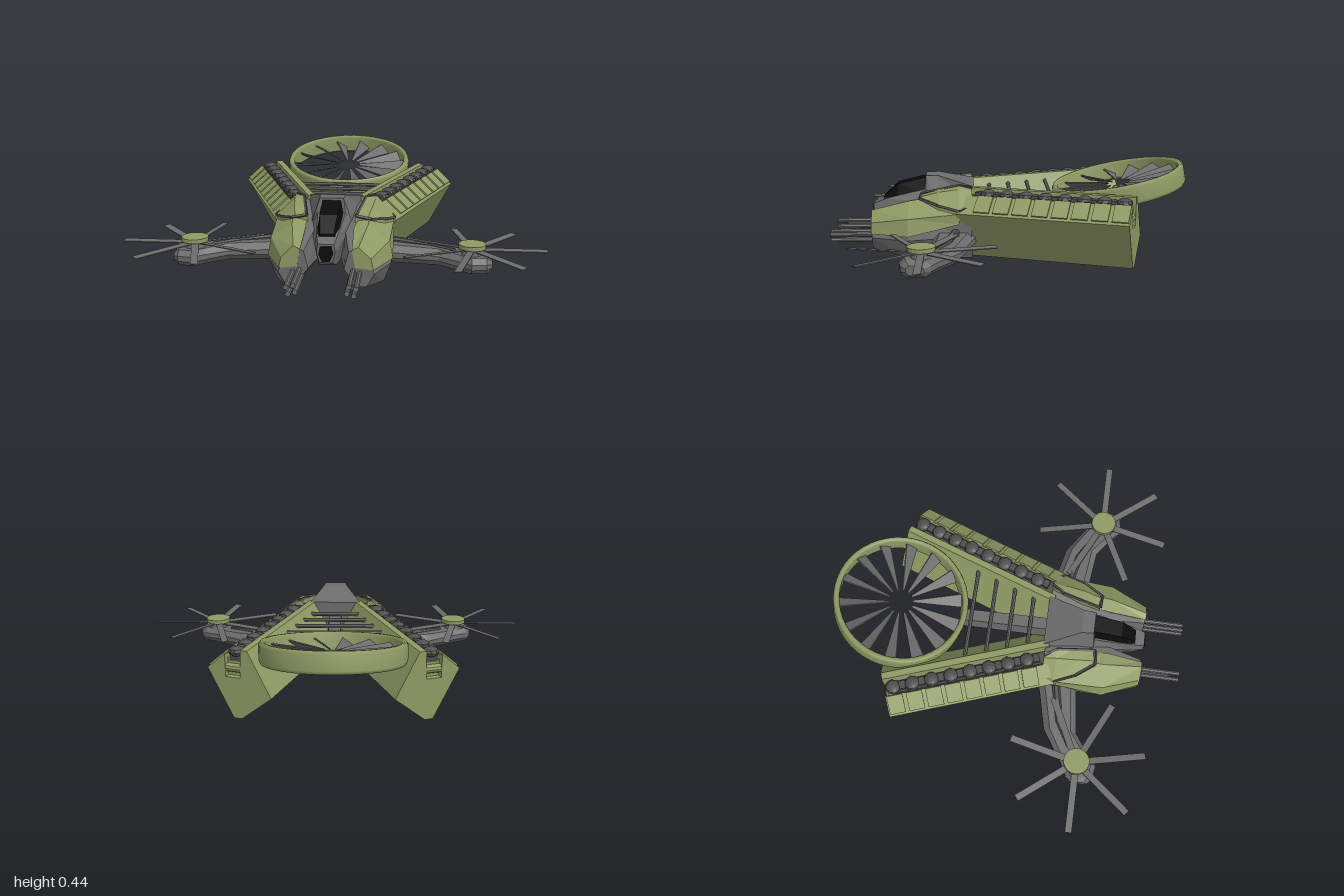
import * as THREE from 'three';

const mat = (color, flatShading = true) => new THREE.MeshStandardMaterial({ color, flatShading, side: THREE.DoubleSide });
const GREEN = mat(0x8f9a64), GREY = mat(0x6c6c6c), DARK = mat(0x4e4e4e), BLACK = mat(0x0b0b0b);
const SMOOTH_GREEN = mat(0x8f9a64, false);
const V = (x, y, z) => new THREE.Vector3(x, y, z);

function add(parent, name, geometry, material, x = 0, y = 0, z = 0) {
  const mesh = new THREE.Mesh(geometry, material);
  mesh.name = name;
  mesh.position.set(x, y, z);
  parent.add(mesh);
  return mesh;
}

function group(parent, name) {
  const g = new THREE.Group();
  g.name = name;
  parent.add(g);
  return g;
}

// Skin over convex cross-sections, each running counter-clockwise about the axis
function loft(sections) {
  const p = [];
  const tri = (...pts) => pts.forEach((v) => p.push(v.x, v.y, v.z));
  const n = sections[0].length;
  for (let i = 0; i + 1 < sections.length; i++) {
    for (let j = 0; j < n; j++) {
      const k = (j + 1) % n, s = sections[i], t = sections[i + 1];
      tri(s[j], s[k], t[k]);
      tri(s[j], t[k], t[j]);
    }
  }
  const a = sections[0], b = sections[sections.length - 1];
  for (let j = 1; j + 1 < n; j++) {
    tri(a[0], a[j + 1], a[j]);
    tri(b[0], b[j], b[j + 1]);
  }
  const g = new THREE.BufferGeometry();
  g.setAttribute('position', new THREE.Float32BufferAttribute(p, 3));
  g.computeVertexNormals();
  return g;
}

// Sections as [z, [x, y], ...]
const loftZ = (rows) => loft(rows.map(([z, ...pts]) => pts.map(([x, y]) => V(x, y, z))));

// Symmetric sections as [z, [halfWidth, y] from bottom to top]
const loftSym = (rows) => loftZ(rows.map(([z, ...r]) =>
  [z, ...r, ...r.slice().reverse().map(([x, y]) => [-x, y])]));

// Chamfered sections along x as [x, zMin, zMax, yMin, yMax, chamfer]
const loftX = (rows) => loft(rows.map(([x, z0, z1, y0, y1, c]) => [
  [y0, z0 + c], [y0 + c, z0], [y1 - c, z0], [y1, z0 + c],
  [y1, z1 - c], [y1 - c, z1], [y0 + c, z1], [y0, z1 - c]].map(([y, z]) => V(x, y, z))));

function rod(parent, name, a, b, r, material, sides = 6) {
  const d = b.clone().sub(a);
  const m = add(parent, name, new THREE.CylinderGeometry(r, r, d.length(), sides), material);
  m.position.copy(a).addScaledVector(d, 0.5);
  m.quaternion.setFromUnitVectors(V(0, 1, 0), d.normalize());
}

// Mirrored copy across x = 0 with corrected winding
function mirrored(source, name) {
  source.updateMatrixWorld(true);
  const out = new THREE.Group();
  out.name = name;
  source.traverse((o) => {
    if (!o.isMesh) return;
    const g = o.geometry.index ? o.geometry.toNonIndexed() : o.geometry.clone();
    g.applyMatrix4(o.matrixWorld);
    const p = g.attributes.position;
    for (let i = 0; i < p.count; i += 3) {
      const [a, b, c] = [0, 1, 2].map((k) => V(0, 0, 0).fromBufferAttribute(p, i + k));
      [a, c, b].forEach((v, k) => p.setXYZ(i + k, -v.x, v.y, v.z));
    }
    g.computeVertexNormals();
    add(out, o.name, g, o.material);
  });
  return out;
}

// Long splayed hull with a bead channel, ribbed outer slope and a notch in the tail
function buildBoom(side) {
  const boom = group(side, 'boom');
  const L = 0.84, notch = 0.03;
  boom.position.set(0.28, 0, -0.63);
  boom.rotation.y = -0.344;
  for (const [name, floor, start, depth] of [['boomTail', 0.2, 0, notch], ['boomHull', 0.27, notch, L - notch]]) {
    const shape = new THREE.Shape([[0, 0.12], [0.15, 0], [0.19, 0], [0.316, 0.235], [0.228, 0.31],
      [0.225, floor], [0.152, floor], [0.148, 0.335], [0.115, 0.335]].map(([u, y]) => new THREE.Vector2(u, y)));
    add(boom, name, new THREE.ExtrudeGeometry(shape, { depth, bevelEnabled: false }), GREEN, 0, 0, start);
  }
  rod(boom, 'tailRoller', V(0.15, 0.24, 0.02), V(0.228, 0.24, 0.02), 0.02, GREEN, 10);
  add(boom, 'channelStrip', new THREE.BoxGeometry(0.06, 0.035, L - 0.04), DARK, 0.19, 0.285, L / 2 + 0.02);
  for (let i = 0; i < 9; i++) {
    const z = 0.045 + i * 0.096;
    if (i < 8) {
      const bead = add(boom, 'bead', new THREE.SphereGeometry(0.038, 10, 6), DARK, 0.19, 0.314, z);
      bead.scale.y = 0.65;
      add(boom, 'beadLink', new THREE.BoxGeometry(0.04, 0.03, 0.03), DARK, 0.19, 0.308, z + 0.048);
    }
    if (i > 7) continue;
    const panel = add(boom, 'slopePanel', new THREE.BoxGeometry(0.1, 0.012, 0.078), GREEN, 0.268, 0.278, z);
    panel.rotation.z = -0.706;
  }
}

// Nose pod: grey hull, green armour and barrel cluster
function buildNosePod(side) {
  const pod = group(side, 'nosePod');
  add(pod, 'podHull', loftZ([
    [0.19, [0, 0.12], [0.14, 0], [0.23, 0], [0.28, 0.12], [0.28, 0.22], [0.17, 0.325], [0.03, 0.3]],
    [0.5, [0.05, 0.12], [0.15, 0.01], [0.25, 0.01], [0.285, 0.1], [0.265, 0.2], [0.17, 0.265], [0.07, 0.25]],
    [0.68, [0.08, 0.12], [0.14, 0.04], [0.18, 0.04], [0.215, 0.1], [0.19, 0.165], [0.14, 0.215], [0.1, 0.2]],
  ]), GREY);
  add(pod, 'frontArmour', loftZ([
    [0.25, [0.13, 0.15], [0.285, 0.18], [0.285, 0.23], [0.185, 0.318], [0.14, 0.29]],
    [0.5, [0.13, 0.14], [0.29, 0.12], [0.275, 0.205], [0.175, 0.275], [0.11, 0.265]],
    [0.685, [0.13, 0.13], [0.212, 0.12], [0.2, 0.172], [0.145, 0.225], [0.115, 0.21]],
  ]), GREEN);
  add(pod, 'shoulderArmour', loftZ([
    [0.19, [0.17, 0.25], [0.26, 0.25], [0.26, 0.27], [0.2, 0.335], [0.17, 0.34]],
    [0.25, [0.14, 0.2], [0.29, 0.22], [0.285, 0.25], [0.195, 0.335], [0.155, 0.345]],
    [0.35, [0.12, 0.2], [0.25, 0.2], [0.245, 0.27], [0.185, 0.32], [0.125, 0.325]],
    [0.44, [0.11, 0.2], [0.185, 0.2], [0.183, 0.285], [0.17, 0.295], [0.11, 0.295]],
  ]), GREEN);
  const seam = [V(0.19, 0.342, 0.19), V(0.15, 0.345, 0.25), V(0.115, 0.3, 0.44), V(0.185, 0.288, 0.445),
    V(0.248, 0.266, 0.355), V(0.288, 0.245, 0.25), V(0.262, 0.268, 0.19)];
  seam.slice(1).forEach((p, i) => rod(pod, 'armourTrim', seam[i], p, 0.008, DARK, 4));
  for (let i = 0; i < 4; i++) {
    const a = i * Math.PI / 2 + 0.5, x = 0.13 + Math.cos(a) * 0.022, y = 0.093 + Math.sin(a) * 0.022;
    rod(pod, 'barrel', V(x, y, 0.6), V(x, y, 0.89), 0.012, GREY, 8);
  }
  rod(pod, 'barrelCore', V(0.13, 0.093, 0.6), V(0.13, 0.093, 0.84), 0.012, DARK, 8);
}

// Swept arm carrying a seven-bladed lift rotor
function buildRotorArm(side) {
  const arm = group(side, 'rotorArm');
  add(arm, 'armBeam', loftX([
    [0.2, 0.16, 0.37, 0.05, 0.14, 0.03], [0.33, 0.195, 0.38, 0.05, 0.135, 0.03],
    [0.5, 0.235, 0.4, 0.05, 0.13, 0.03], [0.6, 0.3, 0.47, 0.05, 0.125, 0.025],
    [0.65, 0.335, 0.515, 0.05, 0.125, 0.025], [0.72, 0.37, 0.505, 0.05, 0.125, 0.025],
    [0.745, 0.4, 0.48, 0.065, 0.11, 0.015]]), GREY);
  add(arm, 'armRidge', loftX([[0.28, 0.25, 0.29, 0.1, 0.155, 0.01], [0.46, 0.29, 0.325, 0.1, 0.142, 0.008],
    [0.58, 0.36, 0.385, 0.1, 0.133, 0.006]]), DARK);
  const rotor = group(arm, 'liftRotor');
  rotor.position.set(0.655, 0, 0.415);
  add(rotor, 'rotorShaft', new THREE.CylinderGeometry(0.045, 0.055, 0.06, 12), GREY, 0, 0.13, 0);
  add(rotor, 'rotorCap', new THREE.CylinderGeometry(0.064, 0.064, 0.02, 20), GREEN, 0, 0.164, 0);
  for (let i = 0; i < 7; i++) {
    const spoke = group(rotor, 'rotorBlade');
    spoke.rotation.y = i * Math.PI * 2 / 7;
    add(spoke, 'rotorBlade', new THREE.BoxGeometry(0.315, 0.005, 0.034), GREY, 0.1875, 0.146, 0).rotation.x = 0.12;
  }
}

// Tilted rear fan: ring with open centre and tapered blades
function buildFan(model) {
  const fan = group(model, 'rearFan');
  fan.position.set(0, 0.325, -0.56);
  fan.rotation.x = 0.196;
  const ring = [[0.308, -0.04], [0.318, -0.05], [0.33, -0.05], [0.338, -0.035], [0.338, 0.035],
    [0.33, 0.05], [0.318, 0.05], [0.308, 0.04], [0.308, -0.04]].map(([r, y]) => new THREE.Vector2(r, y));
  add(fan, 'fanRing', new THREE.LatheGeometry(ring, 48), SMOOTH_GREEN);
  const blade = loftX([[0.06, -0.006, 0.006, -0.003, 0.003, 0.001], [0.312, -0.036, 0.036, -0.004, 0.004, 0.001]]);
  for (let i = 0; i < 14; i++) {
    const spoke = group(fan, 'fanBlade');
    spoke.rotation.y = i * Math.PI / 7;
    add(spoke, 'fanBlade', blade, GREY).rotation.x = 0.6;
  }
}

export function createModel() {
  const model = new THREE.Group();
  model.name = 'aircraft';

  const side = group(model, 'leftSide');
  buildBoom(side);
  buildNosePod(side);
  buildRotorArm(side);
  model.add(mirrored(side, 'rightSide'));

  // Cockpit body, canopy and nose sensor
  add(model, 'cockpitBody', loftSym([
    [0.18, [0.06, 0.12], [0.14, 0.25], [0.13, 0.335]],
    [0.36, [0.06, 0.11], [0.11, 0.25], [0.06, 0.38]],
    [0.42, [0.06, 0.11], [0.1, 0.25], [0.055, 0.378]],
    [0.43, [0.06, 0.11], [0.095, 0.25], [0.065, 0.31]],
    [0.62, [0.04, 0.12], [0.058, 0.21], [0.048, 0.262]],
    [0.685, [0.03, 0.15], [0.042, 0.2], [0.036, 0.235]]]), GREY);
  add(model, 'canopy', loftSym([
    [0.42, [0.06, 0.29], [0.042, 0.368]],
    [0.56, [0.055, 0.25], [0.04, 0.335]],
    [0.635, [0.045, 0.24], [0.03, 0.268]]]), BLACK);
  add(model, 'noseSensor', loftSym([
    [0.66, [0.018, 0.155], [0.033, 0.19], [0.026, 0.225]],
    [0.69, [0.018, 0.155], [0.033, 0.19], [0.026, 0.225]]]), BLACK);

  // Spine and cross tubes between the booms
  add(model, 'spine', loftSym([
    [-0.25, [0.03, 0.18], [0.04, 0.2], [0.03, 0.26]],
    [0.22, [0.03, 0.18], [0.04, 0.2], [0.03, 0.28]]]), GREY);
  [[-0.2, 0.25], [-0.1, 0.21], [0, 0.19], [0.1, 0.15]].forEach(([z, w]) =>
    rod(model, 'crossTube', V(-w, 0.295, z), V(w, 0.295, z), 0.01, GREY, 8));

  buildFan(model);
  return model;
}
